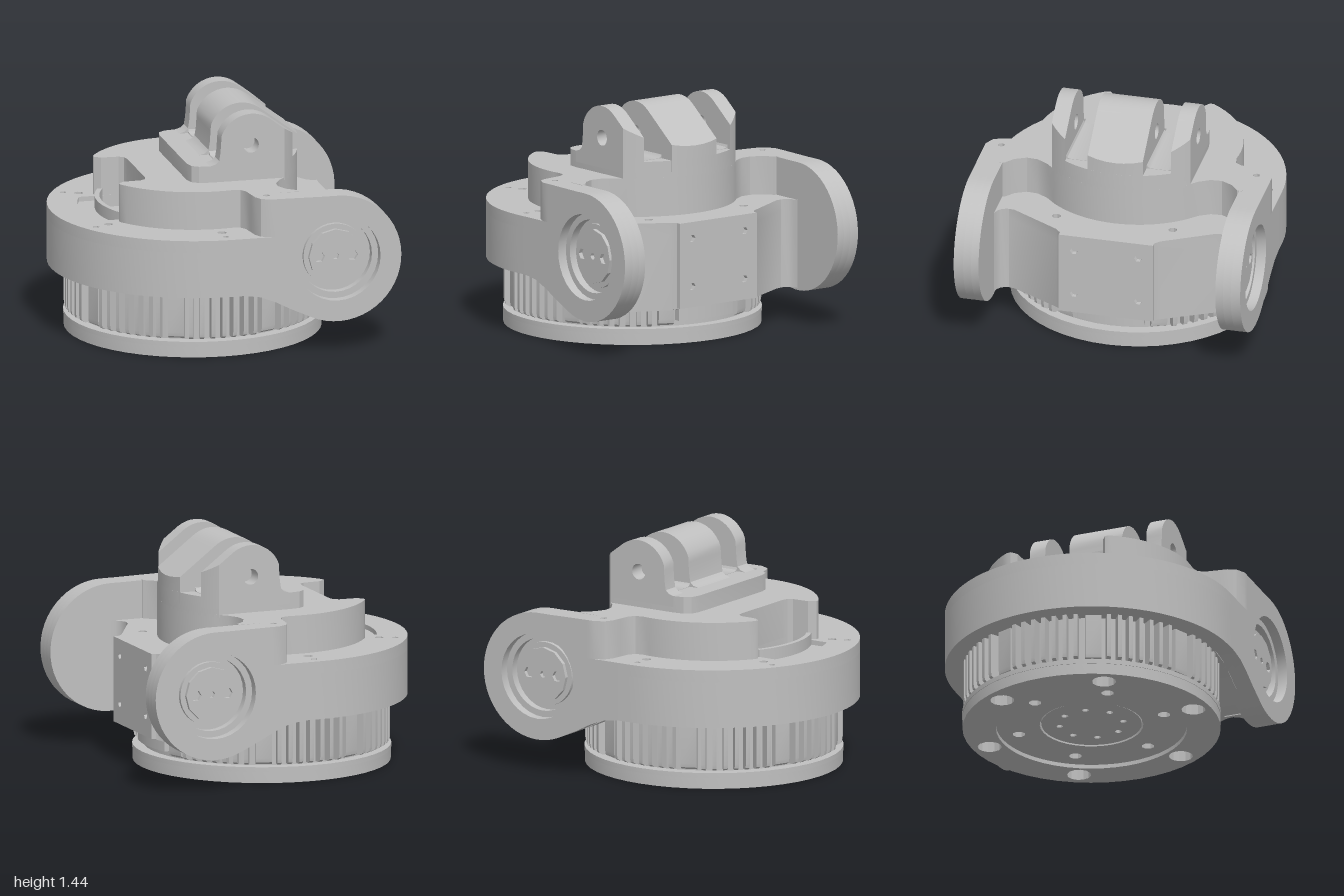
import * as THREE from 'three';
import { toCreasedNormals } from 'three/addons/utils/BufferGeometryUtils.js';

const CX = -0.1; // axis of the round body
const { PI, cos, sin, sqrt } = Math;

// points along an arc, angles in degrees
function arc(cx, cy, r, a0, a1, n) {
  return Array.from({ length: n + 1 }, (_, i) => {
    const a = (a0 + (a1 - a0) * i / n) * PI / 180;
    return [cx + r * cos(a), cy + r * sin(a)];
  });
}
const circle = (cx, cy, r, n = 12) => arc(cx, cy, r, 0, 360 * (n - 1) / n, n - 1);
const vectors = pts => pts.map(p => new THREE.Vector2(p[0], p[1]));
// completes an outline that is symmetric about the x axis
const mirrored = pts => pts.concat(pts.filter(p => p[1] !== 0).reverse().map(([x, y]) => [x, -y]));
const bothSides = pts => pts.flatMap(([x, y, r, n]) => [circle(x, y, r, n), circle(x, -y, r, n)]);

function extrude(pts, depth, holes = [], steps = 1) {
  const shape = new THREE.Shape(vectors(pts));
  holes.forEach(h => shape.holes.push(new THREE.Path(vectors(h))));
  return new THREE.ExtrudeGeometry(shape, { depth, steps, bevelEnabled: false });
}

export function createModel() {
  const model = new THREE.Group();
  const grey = new THREE.MeshStandardMaterial({ color: 0xc0c0c0 });
  grey.name = 'machined grey';

  function add(name, geometry, parent = model) {
    const mesh = new THREE.Mesh(toCreasedNormals(geometry, 0.5), grey);
    mesh.name = name;
    parent.add(mesh);
    return mesh;
  }
  // outline in x,z raised from y0 to y1
  const plan = (name, pts, y0, y1, holes) =>
    add(name, extrude(pts, y1 - y0, holes).rotateX(-PI / 2).translate(0, y0, 0));
  // outline in x,y extended from z0 to z1
  const slab = (name, pts, z0, z1, holes) =>
    add(name, extrude(pts, z1 - z0, holes).translate(0, 0, z0));

  // Round foot with bolt holes and a recessed plate underneath
  const boltRing = (count, ring, r, turn, n) => Array.from({ length: count }, (_, i) => {
    const a = (i / count) * 2 * PI + turn;
    return circle(CX + ring * cos(a), ring * sin(a), r, n);
  });
  plan('footDisc', circle(CX, 0, 0.8, 48), 0.07, 0.1);
  plan('footRim', circle(CX, 0, 0.797, 48), 0, 0.07,
    [circle(CX, 0, 0.59, 48), ...boltRing(6, 0.685, 0.075, 0.5, 12)]);
  plan('footPlate', circle(CX, 0, 0.59, 48), 0.025, 0.07,
    [circle(CX, 0, 0.32, 36), ...boltRing(6, 0.47, 0.04, 0.6, 8)]);
  plan('footHub', circle(CX, 0, 0.31, 36), 0.03, 0.07, boltRing(8, 0.2, 0.022, 0.2, 6));

  // Heat sink: core, thin fins and wider bosses, with a plain panel below the nose
  plan('sinkCore', circle(CX, 0, 0.73, 48), 0.09, 0.45);
  plan('sinkPanel', [...arc(CX, 0, 0.77, -16, 16, 8), [0.5, 0.2], [0.5, -0.2]], 0.135, 0.43);
  const sink = new THREE.Group();
  sink.name = 'heatSink';
  model.add(sink);
  const finShape = [[0.68, 0.11], [0.765, 0.11], [0.79, 0.125], [0.795, 0.15], [0.795, 0.43], [0.68, 0.43]];
  const count = 72;
  for (let i = 4; i <= count - 4; i++) {
    const k = i % 9;
    if (k === 4) continue;
    const wide = k === 5;
    const t = wide ? 0.1 : 0.026;
    const fin = add(wide ? 'sinkBoss' : 'sinkFin', extrude(finShape, t).translate(0, 0, -t / 2), sink);
    if (wide) fin.scale.x = 0.97;
    fin.position.x = CX;
    fin.rotation.y = ((i - (wide ? 0.4 : 0)) / count) * 2 * PI;
  }

  // Lower housing: rear half ring and its drilled top deck
  const rear = arc(-0.09, 0, 0.91, 90, 270, 36);
  plan('housingRing', [...rear, [0, -0.91], [0, 0.91]], 0.41, 0.7);
  const pocket = mirrored([...arc(-0.09, 0, 0.72, 180, 157, 6).map(([x, z], i) => [x, i ? z : 0]),
    [-0.5, 0.28], [-0.47, 0.26], [-0.46, 0.22]]);
  plan('housingDeck',
    [...rear, [0, -0.91], [0, -0.76], [0.515, -0.76], [0.525, -0.64], [0.7, -0.33], [0.735, -0.3],
      [0.735, 0.3], [0.7, 0.33], [0.525, 0.64], [0.515, 0.76], [0, 0.76], [0, 0.91]],
    0.7, 0.775,
    [pocket, ...bothSides([[CX, 0.73, 0.03, 8], [CX, 0.83, 0.022, 5], [-0.73, 0.37, 0.028, 8],
      [-0.82, 0.41, 0.022, 6], [0.54, 0.37, 0.028, 8]])]);
  // Shallow step and curved lip closing the pocket
  plan('pocketStep', [...arc(-0.09, 0, 0.725, 157, 203, 12), ...arc(CX, 0, 0.59, 209, 151, 12)], 0.68, 0.745);
  plan('pocketLip', [...arc(CX, 0, 0.605, 152.5, 207.5, 12), ...arc(CX, 0, 0.575, 209, 151, 12)], 0.69, 0.82);

  // Nose block: box whose cross-section follows stations of x, half width, bottom
  const stations = [[-0.05, 0.8, 0.41], [0.12, 0.8, 0.39], [0.3, 0.8, 0.3], [0.45, 0.8, 0.24],
    [0.515, 0.76, 0.225], [0.525, 0.64, 0.22], [0.7, 0.33, 0.225], [0.735, 0.3, 0.235]];
  const last = stations.length - 1;
  const nose = new THREE.BoxGeometry(1, 1, 1, last, 1, 1);
  const np = nose.attributes.position;
  for (let i = 0; i < np.count; i++) {
    const [x, w, bottom] = stations[Math.round((np.getX(i) + 0.5) * last)];
    np.setXYZ(i, x, np.getY(i) > 0 ? 0.7 : bottom, Math.sign(np.getZ(i)) * w);
  }
  add('noseBlock', nose);
  // Rounded corners between nose and arms
  for (const s of [1, -1]) {
    plan('noseFillet', [[0.5, 0.64], [0.522, 0.64], [0.522, 0.69], [0.54, 0.725], [0.565, 0.742],
      [0.6, 0.754], [0.5, 0.76]].map(([x, z]) => [x, s * z]), 0.222, 0.775);
  }
  // Drilled mounting face on the nose
  const face = extrude([[-0.3, 0.24], [0.3, 0.24], [0.3, 0.775], [-0.3, 0.775]], 0.03,
    [-0.204, 0.204].flatMap(z => [0.37, 0.672].map(y => circle(z, y, 0.024, 6))));
  add('noseFace', face.rotateY(PI / 2).translate(0.735, 0, 0));

  // Upper housing: round cover with a rear pocket, flaring into both arms
  const R = 0.645;
  const coverFront = a => arc(CX, 0, R, a, 0, 10).map(([x, z], i) => [x, i === 10 ? 0 : z]);
  plan('upperHousing', mirrored([
    [-0.46, 0.22], [-0.47, 0.26], [-0.5, 0.28], [-0.61, 0.285], [-0.65, 0.315],
    ...arc(CX, 0, R, 148, 82, 14), [0.04, 0.65], [0.065, 0.69], [0.075, 0.76], [0.085, 0.83],
    [0.11, 0.88], [0.17, 0.91], [0.22, 0.91], [0.22, 0.77], [0.38, 0.77], [0.38, 0.74], [0.32, 0.69],
    [0.285, 0.62], [0.29, 0.55], [0.33, 0.48], ...coverFront(41),
  ]), 0.775, 1.016, bothSides([[0.165, 0.81, 0.022, 6]]));

  // Side arms with stepped bearing recesses
  const px = 0.595, py = 0.61;
  const armOutline = [[0, 0.41], [0, 0.775], [0.22, 0.775], [0.22, 1.016], [0.5, 1.012],
    ...arc(px, py, 0.402, 90, -115, 30), [0.3, 0.303], [0.2, 0.355], [0.1, 0.395]];
  for (const side of [1, -1]) {
    const label = side > 0 ? 'front' : 'back';
    const layer = (name, pts, a, b, holes) =>
      slab(label + name, pts, Math.min(side * a, side * b), Math.max(side * a, side * b), holes);
    layer('ArmInner', armOutline, 0.752, 0.8, []);
    layer('ArmMiddle', armOutline, 0.8, 0.85, [circle(px, py, 0.23, 32)]);
    layer('ArmOuter', armOutline, 0.85, 0.91, [circle(px, py, 0.27, 32)]);
    layer('BearingRing', circle(px, py, 0.2, 32), 0.8, 0.825, []);
    layer('BearingCap', circle(px, py, 0.17, 12), 0.825, 0.85,
      [circle(px - 0.105, py, 0.035, 6), circle(px + 0.105, py, 0.035, 6), circle(px, py, 0.022, 6)]);
  }

  // Clevis foot
  plan('clevisFoot', mirrored([
    [-0.225, 0.34], [-0.21, 0.4], [-0.17, 0.43], [-0.1, 0.44], ...coverFront(43),
  ]), 1.0, 1.12);

  // Clevis ears and centre: drilled rear part, and a sloped front bent to the round cover
  const slopeY = x => 1.404 - (x - 0.275) * 0.755;
  const lug = [[-0.1, 1.05], [-0.1, 1.12], [-0.065, 1.13], [-0.043, 1.15], [-0.035, 1.2], [-0.03, 1.27],
    ...arc(0.16, 1.24, 0.2, 160, 55, 12), [0.3, slopeY(0.3)], [0.3, 1.05]];
  const lugFront = [[0.3, 1.05], [0.545, 1.05], [0.545, 1.2], [0.3, slopeY(0.3)]];
  for (const [name, z0, z1] of [['clevisCentre', -0.175, 0.175],
    ['clevisFrontEar', 0.337, 0.44], ['clevisBackEar', -0.44, -0.337]]) {
    slab(name, lug, z0, z1, [circle(0.16, 1.24, 0.05, 16)]);
    const g = extrude(lugFront, z1 - z0, [], 6).translate(0, 0, z0);
    const p = g.attributes.position;
    for (let i = 0; i < p.count; i++) {
      if (p.getX(i) < 0.5) continue;
      const x = CX + sqrt(R * R - p.getZ(i) ** 2);
      p.setX(i, x);
      if (p.getY(i) > 1.1) p.setY(i, slopeY(x));
    }
    add(name + 'Slope', g);
  }
  // Rounded slot floors between the ears
  const slot = [[0.17, 1.1], [0.34, 1.1], [0.34, 1.15], [0.33, 1.13], [0.31, 1.122],
    [0.2, 1.122], [0.184, 1.13], [0.17, 1.15]];
  for (const s of [1, -1]) {
    add('slotFloor', extrude(slot.map(([z, y]) => [s * z, y]), 0.46).rotateY(PI / 2).translate(-0.04, 0, 0));
  }
  return model;
}
